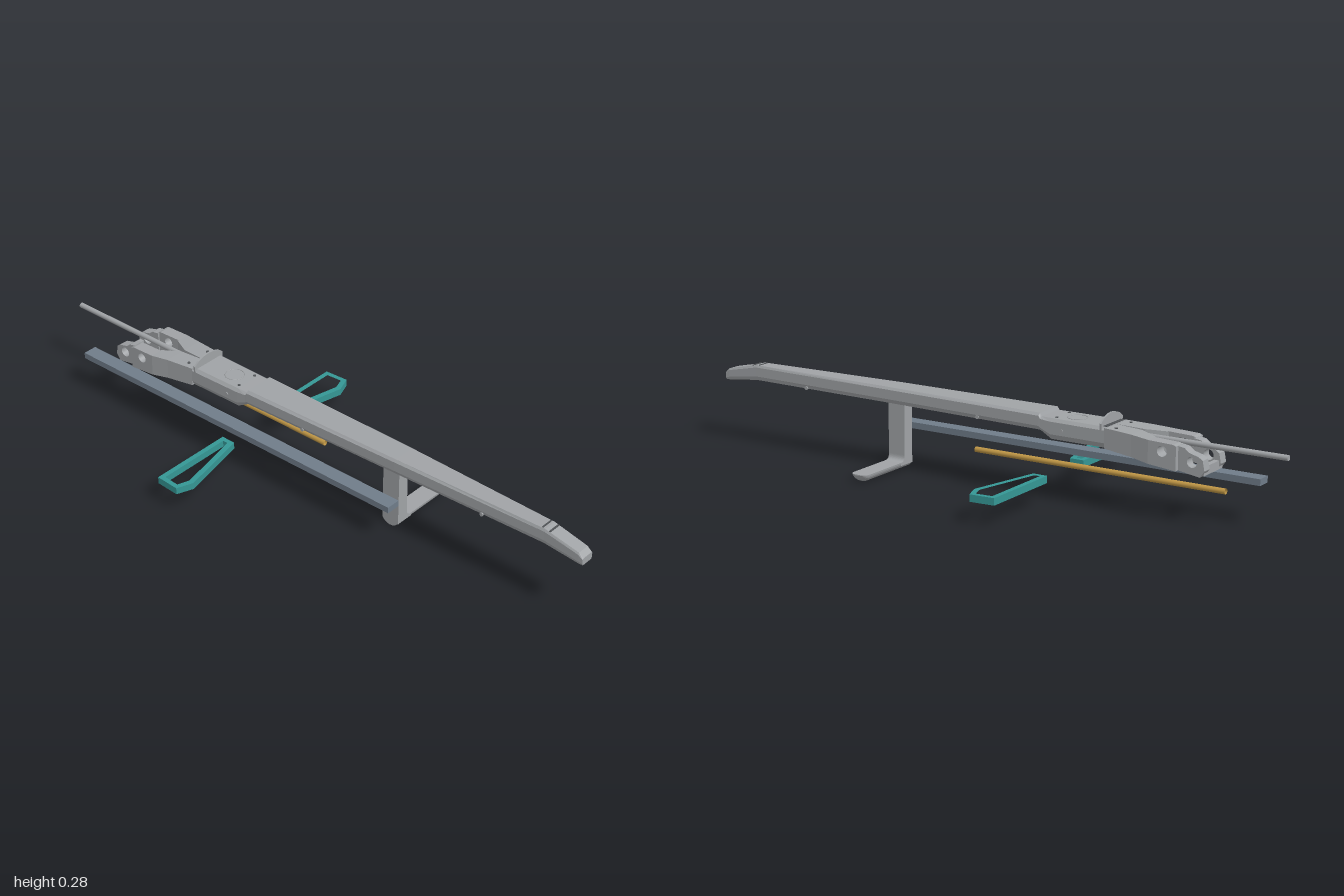
import * as THREE from 'three';

const mat = (name, color, side = THREE.FrontSide) => {
  const m = new THREE.MeshStandardMaterial({ color, side });
  m.name = name;
  return m;
};

// Flat-faced solid through cross-sections [z, points], listed from +z to -z, points anticlockwise
function loft(sections) {
  const v = [];
  const rings = sections.map(([z, pts]) => pts.map(([x, y]) => [x, y, z]));
  const n = rings[0].length;
  const tri = (a, b, c) => v.push(...a, ...b, ...c);
  for (let i = 0; i < rings.length - 1; i++) {
    for (let j = 0; j < n; j++) {
      const k = (j + 1) % n;
      const a = rings[i][j], b = rings[i][k], c = rings[i + 1][j], d = rings[i + 1][k];
      tri(a, c, b);
      tri(b, c, d);
    }
  }
  const f = rings[0], l = rings[rings.length - 1];
  for (let j = 1; j < n - 1; j++) {
    tri(f[0], f[j], f[j + 1]);
    tri(l[0], l[j + 1], l[j]);
  }
  const g = new THREE.BufferGeometry();
  g.setAttribute('position', new THREE.Float32BufferAttribute(v, 3));
  g.computeVertexNormals();
  return g;
}

const polygon = (pts) => new THREE.Shape(pts.map(([x, y]) => new THREE.Vector2(x, y)));
const extrude = (shape, depth) =>
  new THREE.ExtrudeGeometry(shape, { depth, bevelEnabled: false, curveSegments: 16 });

// Side profile (z, y) given a thickness inward from xMax
const sidePlate = (pts, hole, xMax, depth) => {
  const s = polygon(pts);
  s.holes.push(new THREE.Path().absarc(hole[0], hole[1], hole[2], 0, Math.PI * 2, true));
  return extrude(s, depth).rotateY(-Math.PI / 2).translate(xMax, 0, 0);
};

// Chamfered beam section
const beamSection = (w, yb, yt) => {
  const h = yt - yb;
  return [[-w * 0.85, yb], [w * 0.85, yb], [w, yb + h * 0.25], [w, yt - h * 0.15],
    [w * 0.85, yt], [-w * 0.85, yt], [-w, yt - h * 0.15], [-w, yb + h * 0.25]];
};
const rect = (x0, x1, y0, y1) => [[x0, y0], [x1, y0], [x1, y1], [x0, y1]];

export function createModel() {
  const group = new THREE.Group();
  const grey = mat('light grey', 0xa0a3a6);
  const dark = mat('dark grey', 0x505356);
  const slate = mat('slate', 0x6f7c89);
  const teal = mat('teal', 0x359795);
  const gold = mat('gold', 0xbf9645, THREE.DoubleSide);
  const add = (name, geo, material, x = 0, y = 0, z = 0) => {
    const m = new THREE.Mesh(geo, material);
    m.name = name;
    m.position.set(x, y, z);
    group.add(m);
    return m;
  };

  // Long tapered beam, stepping down into the rear body
  add('beam', loft([
    [1, 0.023, 0.198, 0.222], [0.985, 0.024, 0.198, 0.235], [0.87, 0.026, 0.211, 0.26],
    [0.35, 0.044, 0.21, 0.26], [-0.22, 0.057, 0.205, 0.256], [-0.225, 0.057, 0.203, 0.246],
    [-0.26, 0.058, 0.183, 0.246], [-0.45, 0.061, 0.183, 0.245],
  ].map(([z, w, yb, yt]) => [z, beamSection(w, yb, yt)])), grey);

  // Grooves near the nose
  for (const z of [0.86, 0.885]) {
    add('noseGroove', new THREE.BoxGeometry(0.042, 0.003, 0.005), dark, 0, z > 0.87 ? 0.2575 : 0.26, z);
  }

  // Ring and fasteners on the rear body
  add('topRing', new THREE.TorusGeometry(0.03, 0.0015, 6, 32).rotateX(Math.PI / 2), grey, 0, 0.246, -0.32);
  for (const s of [-1, 1]) {
    for (const [x, z, y] of [[0.035, -0.27, 0.246], [0.042, -0.475, 0.2435]]) {
      add('topFastener', new THREE.CylinderGeometry(0.005, 0.005, 0.003, 12), dark, s * x, y, z);
    }
    for (const [x, z] of [[0.0337, 0.66], [0.051, 0], [0.0585, -0.3]]) {
      add('sideFastener', new THREE.CylinderGeometry(0.006, 0.006, 0.004, 12).rotateZ(Math.PI / 2),
        grey, s * x, 0.213, z);
    }
  }

  // Arched upright plate with a sloped foot behind it
  const arch = [[-0.061, 0.235], [0.061, 0.235], [0.062, 0.255], [0.045, 0.268], [0.02, 0.276],
    [0, 0.278], [-0.02, 0.276], [-0.045, 0.268], [-0.062, 0.255]];
  add('archedPlate', extrude(polygon(arch), 0.006), grey, 0, 0, -0.436);
  add('slot', new THREE.BoxGeometry(0.1, 0.003, 0.012), dark, 0, 0.2455, -0.442);

  // Forked tail: splayed wedge and two pierced plates on each side
  for (const s of [-1, 1]) {
    const span = (xi, xo, yb, yt) => (s > 0 ? rect(xi, xo, yb, yt) : rect(-xo, -xi, yb, yt));
    add('forkRoot', loft([
      [-0.445, span(0, 0.061, 0.183, 0.244)],
      [-0.54, span(0.006, 0.071, 0.174, 0.24)],
      [-0.6, span(0.036, 0.08, 0.165, 0.235)],
    ]), grey);
    const front = [[-0.69, 0.156], [-0.6, 0.165], [-0.6, 0.235], [-0.68, 0.232], [-0.69, 0.228]];
    const rear = [[-0.76, 0.145], [-0.685, 0.157], [-0.685, 0.228], [-0.71, 0.224],
      [-0.725, 0.212], [-0.755, 0.204], [-0.768, 0.195], [-0.774, 0.165]];
    const [xf, df, xr, dr] = s > 0 ? [0.08, 0.04, 0.066, 0.032] : [-0.04, 0.04, -0.034, 0.032];
    add('forkArm', sidePlate(front, [-0.645, 0.208, 0.016], xf, df), grey);
    add('forkTip', sidePlate(rear, [-0.734, 0.186, 0.016], xr, dr), grey);
  }
  add('forkCrossbar', new THREE.BoxGeometry(0.11, 0.026, 0.016), grey, 0, 0.161, -0.76);

  // Rear rod
  add('rearRod', new THREE.CylinderGeometry(0.0085, 0.0085, 0.54, 20).rotateX(Math.PI / 2),
    grey, 0, 0.223, -0.73);

  // Post with a fillet into its foot
  const post = new THREE.Shape();
  post.moveTo(-0.02, 0.015);
  post.lineTo(0.04, 0.015);
  post.lineTo(0.04, 0.025);
  post.quadraticCurveTo(0.02, 0.025, 0.02, 0.045);
  post.lineTo(0.02, 0.215);
  post.lineTo(-0.02, 0.215);
  add('post', extrude(post, 0.06), grey, 0, 0, 0.29);

  // Foot bar with a round underside and a curved tip
  const footSection = (w, h) => Array.from({ length: 15 }, (_, i) => {
    const a = Math.PI * (1 + i / 14);
    return [Math.cos(a) * 0.03 * w, 0.025 + Math.sin(a) * 0.025 * h];
  });
  add('foot', loft([[0.223, 0.55, 0.15], [0.219, 0.75, 0.5], [0.212, 0.92, 0.8], [0.2, 1, 1], [-0.02, 1, 1]]
    .map(([x, w, h]) => [x, footSection(w, h)])).rotateY(Math.PI / 2), grey, 0, 0, 0.32);

  // Slate rail, hollow from below
  add('railTop', new THREE.BoxGeometry(0.047, 0.006, 1.265), slate, -0.076, 0.13, -0.2575);
  for (const s of [-1, 1]) {
    add('railWall', new THREE.BoxGeometry(0.006, 0.02, 1.265), slate, -0.076 + s * 0.0205, 0.123, -0.2575);
    add('railEnd', new THREE.BoxGeometry(0.047, 0.02, 0.006), slate, -0.076, 0.123, -0.2575 + s * 0.6295);
  }

  // Thin gold tube
  add('goldTube', new THREE.CylinderGeometry(0.0085, 0.0085, 0.84, 20, 1, true).rotateX(Math.PI / 2),
    gold, 0.05, 0.113, -0.415);

  // Teal open frames, one each side
  for (const s of [-1, 1]) {
    const outer = [[0.103, -0.28], [0.385, -0.28], [0.39, -0.2], [0.337, -0.18], [0.103, -0.232]];
    const inner = [[0.118, -0.264], [0.37, -0.264], [0.374, -0.211], [0.336, -0.198], [0.118, -0.246]];
    const flip = (pts) => pts.map(([x, z]) => [s * x, -z]);
    const shape = polygon(flip(outer));
    shape.holes.push(new THREE.Path(flip(inner).map(([x, y]) => new THREE.Vector2(x, y))));
    add('sideFrame', extrude(shape, 0.022).rotateX(-Math.PI / 2), teal, 0, 0.064, 0);
  }
  return group;
}
